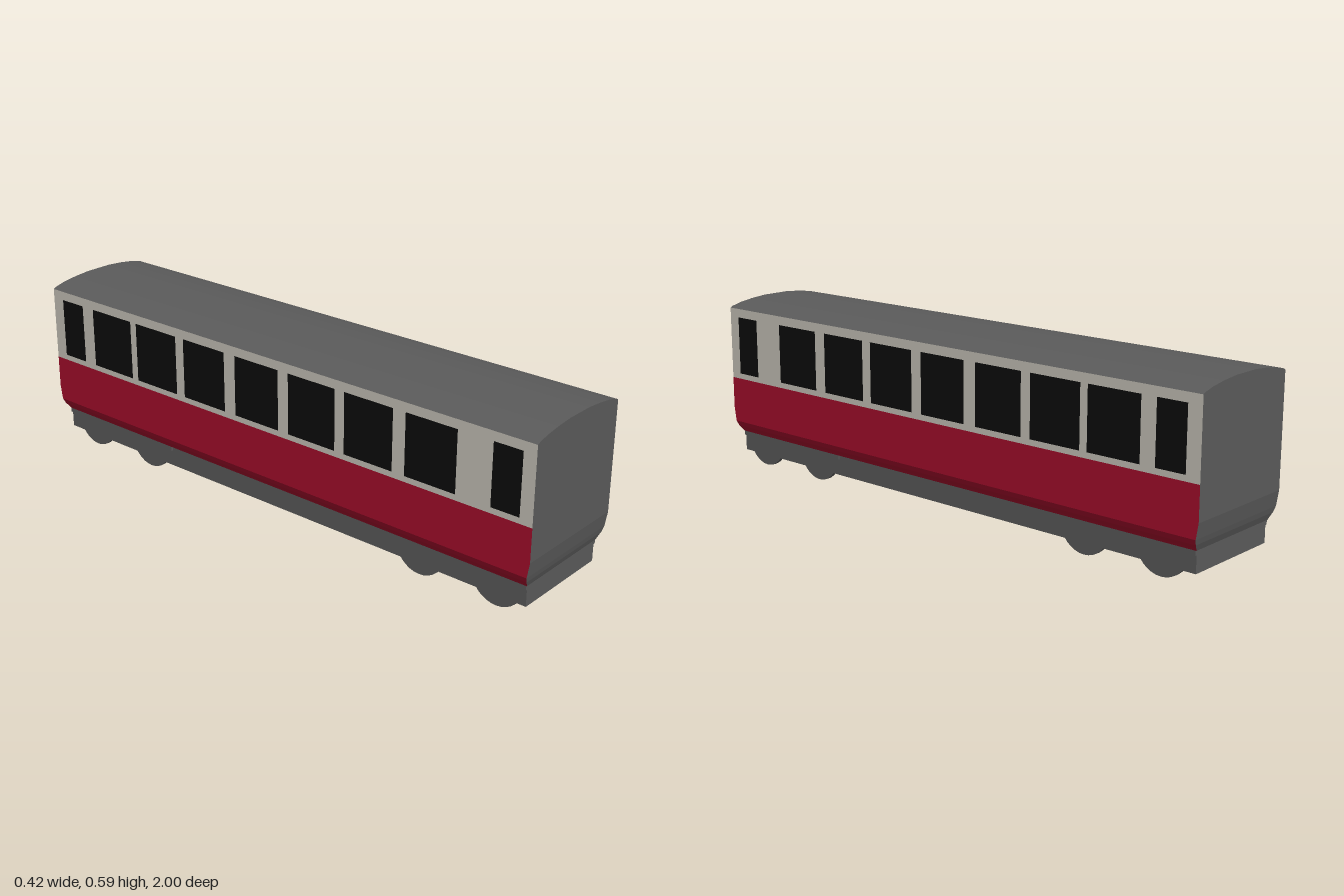
import * as THREE from 'three';

const paint = (name, color) => {
  const m = new THREE.MeshStandardMaterial({ color });
  m.name = name;
  return m;
};

// Builds flat-shaded quads; corners run anticlockwise seen from outside
function quads(list) {
  const pos = [];
  for (const [a, b, c, d] of list) pos.push(...a, ...b, ...c, ...a, ...c, ...d);
  const g = new THREE.BufferGeometry();
  g.setAttribute('position', new THREE.Float32BufferAttribute(pos, 3));
  g.computeVertexNormals();
  return g;
}

export function createModel() {
  const grey = paint('coach grey', 0x5b5b5b);
  const cream = paint('cream', 0xc8c4b9);
  const red = paint('crimson', 0xa60d2c);
  const glass = paint('dark glass', 0x0b0c0c);

  const model = new THREE.Group();
  model.name = 'railwayCoach';
  const add = (name, geometry, material, x = 0, y = 0, z = 0) => {
    const mesh = new THREE.Mesh(geometry, material);
    mesh.name = name;
    mesh.position.set(x, y, z);
    model.add(mesh);
    return mesh;
  };
  const box = (name, material, w, h, d, x, y, z) =>
    add(name, new THREE.BoxGeometry(w, h, d), material, x, y, z);

  // Body rows: height, half width, half length (tucked in at the bottom)
  const rows = [
    [0.11, 0.186, 0.98], [0.118, 0.191, 0.983], [0.132, 0.202, 0.988], [0.15, 0.21, 0.992],
    [0.2, 0.21, 1], [0.31, 0.21, 1], [0.563, 0.21, 1],
  ];
  const lower = [], upper = [], ends = [];
  for (let i = 0; i < rows.length - 1; i++) {
    const [y0, x0, z0] = rows[i], [y1, x1, z1] = rows[i + 1];
    for (const s of [1, -1]) {
      (y1 > 0.32 ? upper : lower).push([
        [s * x0, y0, s * z0], [s * x0, y0, -s * z0], [s * x1, y1, -s * z1], [s * x1, y1, s * z1]]);
      ends.push([
        [-s * x0, y0, s * z0], [s * x0, y0, s * z0], [s * x1, y1, s * z1], [-s * x1, y1, s * z1]]);
    }
  }
  // Floor closes the body underneath
  const [fy, fx, fz] = rows[0];
  ends.push([[-fx, fy, -fz], [fx, fy, -fz], [fx, fy, fz], [-fx, fy, fz]]);
  add('lowerSides', quads(lower), red);
  add('upperSides', quads(upper), cream);
  add('endWallsAndFloor', quads(ends), grey);

  // Shallow arched roof
  const arch = [[0.21, 0.563], [0.2, 0.568], [0.165, 0.577], [0.11, 0.585], [0.05, 0.59]];
  const outline = [...arch, ...arch.map(([x, y]) => [-x, y]).reverse()];
  const roof = new THREE.ExtrudeGeometry(
    new THREE.Shape(outline.map(([x, y]) => new THREE.Vector2(x, y))),
    { depth: 2, bevelEnabled: false });
  add('roof', roof, grey, 0, 0, -1);

  // Windows along both sides: centre and width
  const windows = [
    [0.908, 0.097], [0.646, 0.183], [0.416, 0.183], [0.193, 0.187], [-0.035, 0.183],
    [-0.266, 0.183], [-0.488, 0.187], [-0.703, 0.187], [-0.901, 0.102],
  ];
  for (const s of [1, -1])
    for (const [z, w] of windows) box('window', glass, 0.006, 0.203, w, s * 0.208, 0.431, z);

  // Underframe
  box('underframe', grey, 0.36, 0.072, 1.955, 0, 0.075, 0);

  // Bogie side strips and wheels
  const wheel = new THREE.CylinderGeometry(0.09, 0.09, 0.013, 32).rotateZ(Math.PI / 2);
  for (const s of [1, -1]) {
    box('frontBogieStrip', grey, 0.012, 0.016, 0.5, s * 0.18, 0.103, 0.728);
    box('rearBogieStrip', grey, 0.012, 0.016, 0.52, s * 0.18, 0.103, -0.718);
    for (const z of [0.871, 0.592, -0.576, -0.855]) add('wheel', wheel, grey, s * 0.1665, 0.09, z);
  }
  return model;
}
